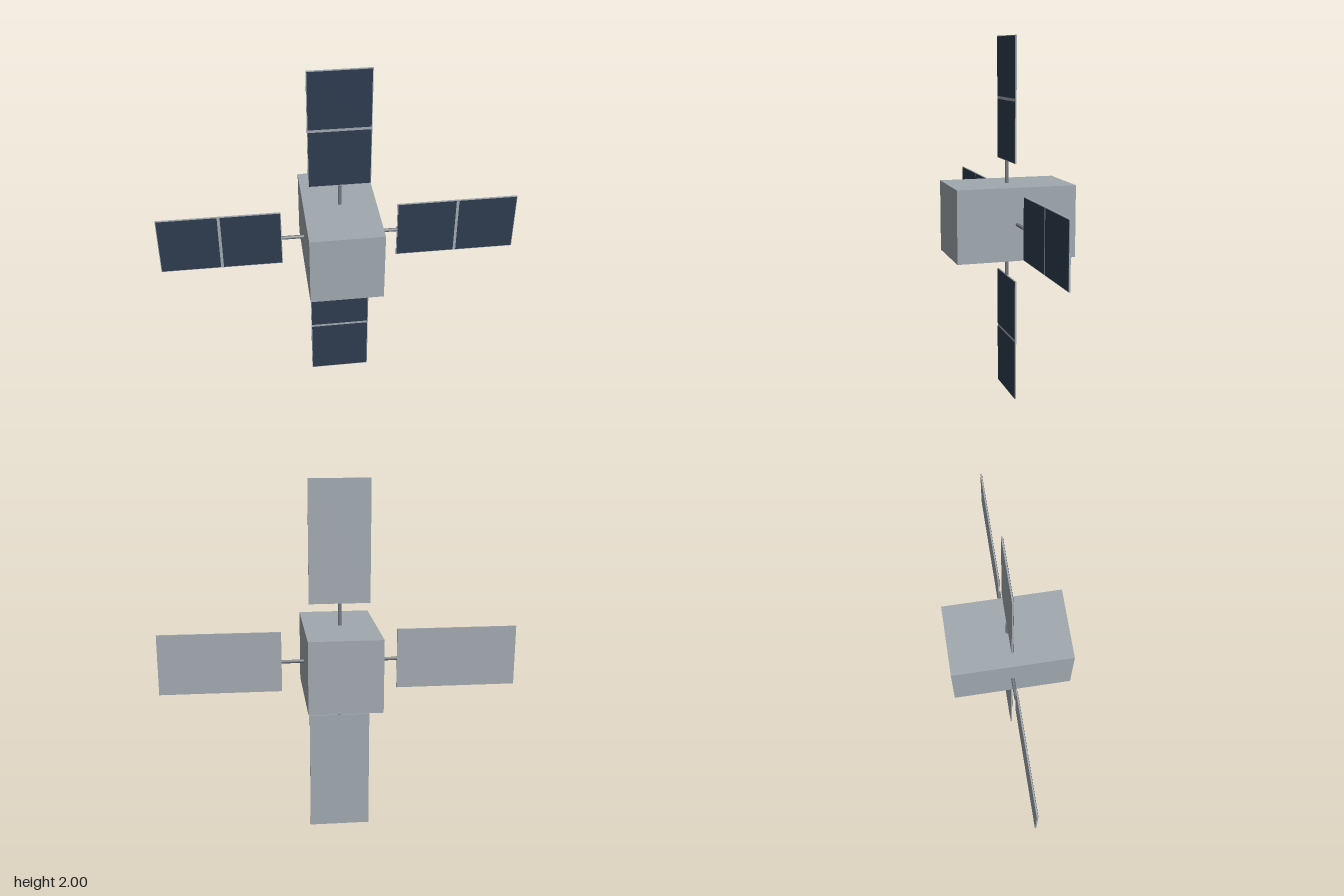
import * as THREE from 'three';

export function createModel() {
  const model = new THREE.Group();
  const mat = (name, color) => {
    const m = new THREE.MeshStandardMaterial({ color });
    m.name = name;
    return m;
  };
  const hull = mat('hull grey', 0xa0a8ae);
  const cellBlue = mat('solar cell blue', 0x2d3b4f);
  const strutGrey = mat('strut grey', 0x737a80);

  const add = (parent, name, geometry, material, x, y, z) => {
    const mesh = new THREE.Mesh(geometry, material);
    mesh.name = name;
    mesh.position.set(x, y, z);
    parent.add(mesh);
    return mesh;
  };

  // Central box body
  add(model, 'body', new THREE.BoxGeometry(0.4, 0.4, 0.665), hull, 0, 1, 0);

  // One wing pointing along +x: strut, panel and two front cell plates
  const inner = 0.323, outer = 1, width = 0.34, thick = 0.008;
  const border = 0.004, gap = 0.016;
  const mid = (inner + outer) / 2;
  const cellLength = (outer - inner - gap) / 2 - border;
  const strutGeo = new THREE.CylinderGeometry(0.01, 0.01, inner - 0.19, 8).rotateZ(Math.PI / 2);
  const panelGeo = new THREE.BoxGeometry(outer - inner, width, thick);
  const cellGeo = new THREE.BoxGeometry(cellLength, width - 2 * border, 0.002);

  // Four wings around the body
  ['leftWing', 'topWing', 'rightWing', 'bottomWing'].forEach((name, i) => {
    const wing = new THREE.Group();
    wing.name = name;
    add(wing, 'strut', strutGeo, strutGrey, (inner + 0.19) / 2, 0, 0);
    add(wing, 'panel', panelGeo, hull, mid, 0, 0);
    for (const s of [-1, 1]) {
      add(wing, 'solarCells', cellGeo, cellBlue, mid + s * (gap + cellLength) / 2, 0, thick / 2 + 0.0005);
    }
    wing.position.y = 1;
    wing.rotation.z = i * Math.PI / 2;
    model.add(wing);
  });

  return model;
}
